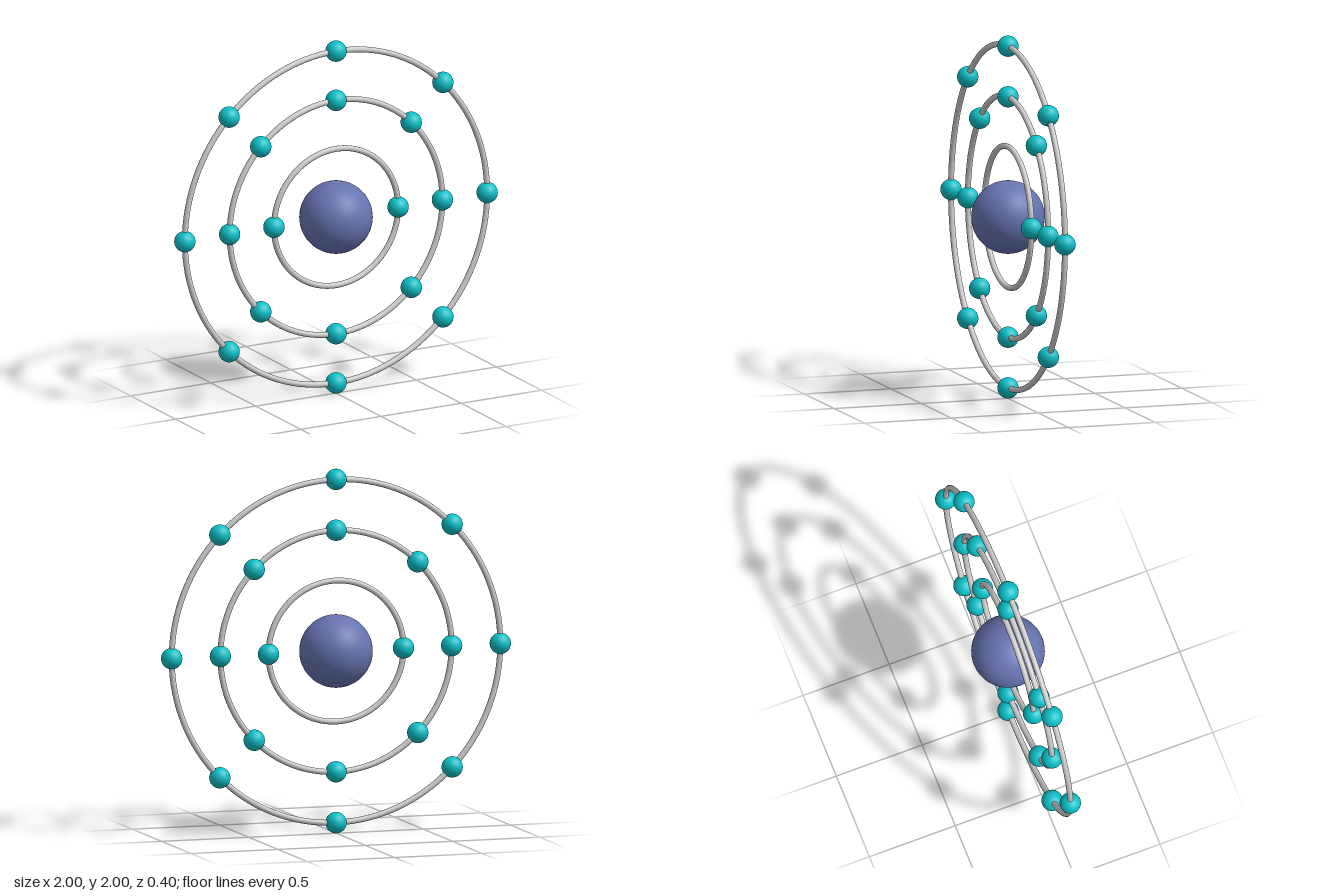
import * as THREE from 'three';

const CENTRE_Y = 1;
const NUCLEUS_RADIUS = 0.2;
const ELECTRON_RADIUS = 0.058;
const RING_TUBE = 0.016;

// Each shell: ring radius and number of evenly spaced electrons
const SHELLS = [
  { name: 'innerShell', radius: 0.387, electrons: 2 },
  { name: 'middleShell', radius: 0.663, electrons: 8 },
  { name: 'outerShell', radius: 0.942, electrons: 8 },
];

export function createModel() {
  const model = new THREE.Group();
  model.name = 'atomModel';

  const ringMaterial = new THREE.MeshStandardMaterial({ color: 0xcccccc });
  const nucleusMaterial = new THREE.MeshStandardMaterial({ color: 0x6673b0 });
  const electronMaterial = new THREE.MeshStandardMaterial({ color: 0x0cc0c8 });

  // Central nucleus
  const nucleus = new THREE.Mesh(new THREE.SphereGeometry(NUCLEUS_RADIUS, 48, 32), nucleusMaterial);
  nucleus.name = 'nucleus';
  nucleus.position.y = CENTRE_Y;
  model.add(nucleus);

  // Concentric upright rings carrying their electrons
  const electronGeometry = new THREE.SphereGeometry(ELECTRON_RADIUS, 32, 20);
  for (const { name, radius, electrons } of SHELLS) {
    const shell = new THREE.Group();
    shell.name = name;
    shell.position.y = CENTRE_Y;

    const ring = new THREE.Mesh(new THREE.TorusGeometry(radius, RING_TUBE, 16, 128), ringMaterial);
    ring.name = 'orbitRing';
    shell.add(ring);

    for (let i = 0; i < electrons; i++) {
      const angle = (i / electrons) * Math.PI * 2;
      const electron = new THREE.Mesh(electronGeometry, electronMaterial);
      electron.name = 'electron';
      electron.position.set(radius * Math.cos(angle), radius * Math.sin(angle), 0);
      shell.add(electron);
    }
    model.add(shell);
  }
  return model;
}
